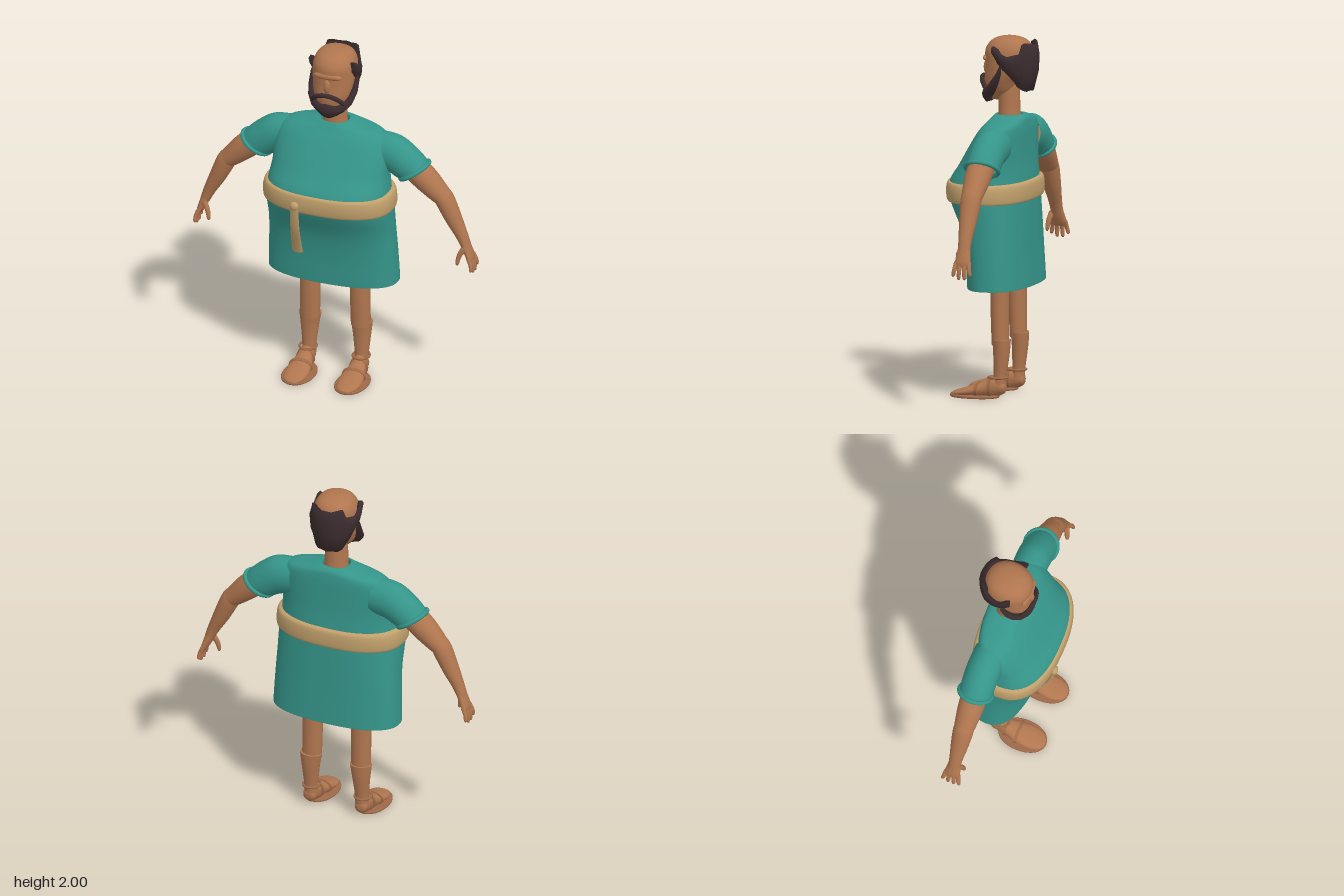
import * as THREE from 'three';

const mat = (name, color, side = THREE.FrontSide) => {
  const m = new THREE.MeshStandardMaterial({ color, side });
  m.name = name;
  return m;
};

// Catmull-Rom interpolation of rows of numbers, k steps per span
function smooth(rows, k = 4) {
  const out = [], at = i => rows[Math.min(Math.max(i, 0), rows.length - 1)];
  for (let i = 0; i < rows.length - 1; i++) {
    for (let s = 0; s < k; s++) {
      const t = s / k;
      out.push(at(i).map((b, j) => {
        const a = at(i - 1)[j], c = at(i + 1)[j], d = at(i + 2)[j];
        return b + 0.5 * t * (c - a + t * (2 * a - 5 * b + 4 * c - d + t * (3 * (b - c) + d - a)));
      }));
    }
  }
  out.push(rows[rows.length - 1]);
  return out;
}

// Skin a list of equal-length closed rings, turned outward, with optional end caps
function loft(rings, caps = true) {
  const n = rings[0].length, pts = rings.flat(), idx = [];
  for (let i = 0; i < rings.length - 1; i++) {
    for (let j = 0; j < n; j++) {
      const a = i * n + j, b = i * n + (j + 1) % n;
      idx.push(a, b, a + n, b, b + n, a + n);
    }
  }
  if (caps) {
    [rings[0], rings[rings.length - 1]].forEach((ring, e) => {
      const base = pts.length, mid = new THREE.Vector3();
      ring.forEach(p => mid.addScaledVector(p, 1 / n));
      pts.push(...ring, mid);
      for (let j = 0; j < n; j++) {
        const a = base + j, b = base + (j + 1) % n;
        idx.push(...(e ? [a, b, base + n] : [b, a, base + n]));
      }
    });
  }
  const centre = new THREE.Vector3();
  pts.forEach(p => centre.addScaledVector(p, 1 / pts.length));
  const local = pts.map(p => p.clone().sub(centre));
  let volume = 0;
  for (let i = 0; i < idx.length; i += 3) {
    volume += local[idx[i]].dot(local[idx[i + 1]].clone().cross(local[idx[i + 2]]));
  }
  if (volume < 0) idx.reverse();
  const g = new THREE.BufferGeometry().setFromPoints(pts);
  g.setIndex(idx);
  g.computeVertexNormals();
  return g;
}

const power = (v, e) => Math.sign(v) * Math.abs(v) ** e;
const turn = n => Array.from({ length: n }, (_, i) => (i / n) * Math.PI * 2);

// Horizontal rounded section: height, half width, front z, back z
const slice = ([y, rx, zf, zb], n = 2, cx = 0, seg = 48) => turn(seg).map(t => new THREE.Vector3(
  cx + rx * power(Math.cos(t), 2 / n), y, (zf + zb) / 2 + (zf - zb) / 2 * power(Math.sin(t), 2 / n)));

// Upright section of a foot: z, half width, bottom, top
const footSlice = ([z, hw, y0, y1], cx) => turn(20).map(t => new THREE.Vector3(
  cx + hw * Math.cos(t), (y0 + y1) / 2 + (y1 - y0) / 2 * Math.sin(t), z));

// Limb along rows of x, y, z, radius across, radius in depth
function limb(rows, seg = 20, k = 4, caps = true) {
  const r = smooth(rows, k), at = i => new THREE.Vector3(...r[Math.min(Math.max(i, 0), r.length - 1)].slice(0, 3));
  return loft(r.map((row, i) => {
    const dir = at(i + 1).sub(at(i - 1)).normalize();
    const side = dir.clone().cross(new THREE.Vector3(0, 0, 1)).normalize();
    const depth = side.clone().cross(dir);
    return turn(seg).map(t => at(i).addScaledVector(side, row[3] * Math.cos(t)).addScaledVector(depth, row[4] * Math.sin(t)));
  }), caps);
}

// Hair shell round the head: rows of degrees, top, bottom; profile of [scale, height fraction]
function shell(rows, cz, rx, rz, profile) {
  const both = [...rows.slice(1).reverse().map(([d, a, b]) => [-d, a, b]), ...rows];
  return loft(both.map(([d, top, bottom]) => profile.map(([s, f]) => {
    const a = d * Math.PI / 180;
    return new THREE.Vector3(rx * s * Math.sin(a), bottom + (top - bottom) * f, cz + rz * s * Math.cos(a));
  })));
}

export function createModel() {
  const root = new THREE.Group();
  const skin = mat('skin', 0xb0764f), cloth = mat('teal cloth', 0x35958a, THREE.DoubleSide);
  const hair = mat('dark hair', 0x3b2c2f), sash = mat('tan sash', 0xc09f6b), leather = mat('sandal leather', 0x9f6a49);
  const add = (name, geometry, material, parent = root) => {
    const m = new THREE.Mesh(geometry, material);
    m.name = name;
    parent.add(m);
    return m;
  };
  const ball = (name, material, pos, scale) => {
    const m = add(name, new THREE.SphereGeometry(1, 24, 16), material);
    m.position.set(...pos);
    m.scale.set(...scale);
  };

  // Tunic, open at the hem and the neck
  const tunic = [[.625, .362, .095, -.225], [.62, .375, .105, -.237], [.64, .377, .108, -.238], [.8, .37, .12, -.23],
    [.95, .363, .15, -.225], [1.1, .362, .215, -.22], [1.2, .35, .225, -.215], [1.3, .336, .165, -.205],
    [1.4, .335, .105, -.2], [1.48, .32, .055, -.197], [1.525, .27, .02, -.192], [1.55, .16, .002, -.185],
    [1.567, .09, -.01, -.165], [1.562, .078, -.016, -.15], [1.53, .076, -.018, -.148]];
  add('tunic', loft(smooth(tunic).map(r => slice(r, 2.4)), false), cloth);

  // Sash, knot and hanging end
  const band = [[1.1, .358, .215, -.22], [1.105, .375, .234, -.237], [1.155, .378, .241, -.241],
    [1.2, .368, .235, -.235], [1.21, .345, .22, -.215]];
  add('sash', loft(smooth(band).map(r => slice(r, 2.4)), false), sash);
  ball('sashKnot', sash, [-.12, 1.145, .24], [.026, .026, .018]);
  add('sashEnd', limb([[-.12, 1.15, .243, .024, .01], [-.127, 1, .212, .027, .01], [-.137, .87, .16, .03, .01],
    [-.14, .81, .135, .031, .012]], 12), sash);

  // Neck and head
  add('neck', limb([[0, 1.52, -.085, .074, .064], [0, 1.57, -.083, .068, .061], [0, 1.74, -.08, .062, .058]], 28), skin);
  const head = [[1.645, .03, .03, -.05], [1.69, .075, .045, -.11], [1.75, .105, .054, -.14], [1.82, .119, .05, -.19],
    [1.87, .122, .05, -.21], [1.92, .12, .05, -.215], [1.96, .105, .03, -.2], [1.985, .08, 0, -.165],
    [1.998, .04, -.045, -.12], [2, .003, -.08, -.086]];
  add('head', loft(smooth(head).map(r => slice(r, 2.15))), skin);
  ball('nose', skin, [0, 1.82, .046], [.021, .042, .021]);
  ball('brow', skin, [0, 1.878, .036], [.085, .02, .022]);

  // Hair round the back and sides, leaving the crown bald
  const backHair = [[180, 1.965, 1.7], [165, 1.962, 1.705], [150, 1.972, 1.7], [137, 1.975, 1.71], [128, 1.915, 1.735],
    [115, 1.91, 1.765], [102, 1.9, 1.8], [90, 1.915, 1.825], [80, 1.945, 1.85], [70, 1.955, 1.89]];
  const hairProfile = [[.94, 1], [1, .75], [.97, .4], [.82, 0], [.5, .05], [.76, .5], [.8, .95]];
  const ring = [...backHair].reverse().concat(backHair.slice(1).map(([d, a, b]) => [360 - d, a, b]));
  add('hair', loft(ring.map(([d, top, bottom]) => hairProfile.map(([s, f]) => {
    const a = d * Math.PI / 180;
    return new THREE.Vector3(.145 * s * Math.sin(a), bottom + (top - bottom) * f, -.08 + .172 * s * Math.cos(a));
  }))), hair);

  // Beard along the jaw and moustache
  const jaw = [[0, 1.715, 1.625], [12, 1.71, 1.63], [25, 1.705, 1.642], [45, 1.715, 1.662], [65, 1.75, 1.69],
    [85, 1.805, 1.735], [98, 1.86, 1.8]];
  add('beard', shell(jaw, -.06, .143, .127, [[.95, 1], [1.02, .6], [.98, .3], [.86, 0], [.6, .1], [.78, .9]]), hair);
  const lip = [[-.095, 1.715, .025], [-.055, 1.757, .058], [0, 1.772, .068], [.055, 1.757, .058], [.095, 1.715, .025]];
  add('moustache', new THREE.TubeGeometry(
    new THREE.CatmullRomCurve3(lip.map(p => new THREE.Vector3(...p))), 32, .013, 10), hair);

  for (const s of [1, -1]) {
    const side = new THREE.Group();
    side.name = s > 0 ? 'leftLimbs' : 'rightLimbs';
    root.add(side);
    const part = (name, rows, material = skin, seg = 20, caps = true) =>
      add(name, limb(rows.map(([x, ...r]) => [x * s, ...r]), seg, 5, caps), material, side);

    // Sleeve with rolled cuff
    const sleeve = [[.24, 1.42, .1, 1, .105, .092], [.345, 1.405, .25, .97, .11, .096], [.42, 1.36, .5, .866, .101, .095],
      [.467, 1.322, .83, .55, .09, .092]];
    add('sleeve', loft(smooth(sleeve, 5).map(([x, y, ux, uy, a, b]) => turn(28).map(t => {
      const l = a * Math.cos(t) / Math.hypot(ux, uy);
      return new THREE.Vector3(s * (x + ux * l), y + uy * l, -.087 + b * Math.sin(t));
    })), false), cloth, side);
    const cuff = add('sleeveCuff', new THREE.TorusGeometry(.092, .013, 10, 36), cloth, side);
    cuff.position.set(s * .467, 1.322, -.087);
    cuff.quaternion.setFromUnitVectors(new THREE.Vector3(0, 0, 1), new THREE.Vector3(s * .55, -.83, 0).normalize());

    // Arm and hand
    part('upperArm', [[.43, 1.37, -.085, .075, .075], [.53, 1.285, -.085, .073, .073], [.6, 1.22, -.085, .061, .064],
      [.645, 1.18, -.085, .05, .056]]);
    part('forearm', [[.615, 1.22, -.085, .045, .05], [.645, 1.175, -.085, .054, .058], [.695, 1.07, -.086, .047, .05],
      [.745, .97, -.087, .034, .038], [.772, .905, -.088, .027, .035]]);
    part('palm', [[.762, .93, -.088, .026, .034], [.78, .885, -.088, .024, .041], [.797, .845, -.09, .019, .046],
      [.803, .825, -.09, .012, .042]]);
    [[-.126, .775], [-.102, .757], [-.077, .757], [-.053, .772]].forEach(([z, tip], i) => {
      const spread = (i - 1.5) * .004;
      part('finger' + (i + 1), [[.795, .85, z, .013, .013], [.812, .81, z + spread, .012, .012],
        [.815, tip + .01, z + spread * 2, .01, .01], [.813, tip, z + spread * 2, .004, .004]], skin, 10);
    });
    part('thumb', [[.768, .9, -.06, .017, .017], [.745, .86, -.05, .014, .014], [.735, .815, -.044, .011, .011],
      [.736, .8, -.044, .004, .004]], skin, 10);

    // Leg
    part('thigh', [[.148, .75, -.078, .058, .051], [.148, .5, -.078, .058, .05], [.15, .3, -.082, .056, .047]]);
    part('shin', [[.152, .325, -.09, .064, .05], [.154, .25, -.09, .053, .045], [.155, .13, -.083, .04, .036],
      [.155, .07, -.08, .04, .036]]);

    // Foot and sandal
    const cx = s * .157;
    const foot = [[-.117, .012, .05, .075], [-.105, .034, .025, .095], [-.05, .043, .005, .125], [0, .052, .005, .1],
      [.05, .064, .005, .077], [.12, .068, .005, .052], [.175, .05, .005, .034], [.2, .018, .008, .02]];
    add('foot', loft(smooth(foot).map(r => footSlice(r, cx))), skin, side);
    const sole = [[0, .088, .2, -.072], [.004, .092, .205, -.076], [.012, .092, .205, -.076], [.014, .088, .2, -.072]];
    add('sandalSole', loft(sole.map(r => slice(r, 2.1, cx))), leather, side);
    [[.042, .07, .084], [-.03, .054, .118]].forEach(([z, hw, top]) => {
      add('sandalStrap', loft([-.008, .008].map(d => footSlice([z + d, hw, .002, top - d * .45], cx))), leather, side);
    });
    const ankle = add('ankleStrap', new THREE.TorusGeometry(.046, .007, 8, 32), leather, side);
    ankle.rotation.x = Math.PI / 2;
    ankle.scale.y = 1.12;
    ankle.position.set(cx, .115, -.07);
  }
  return root;
}
